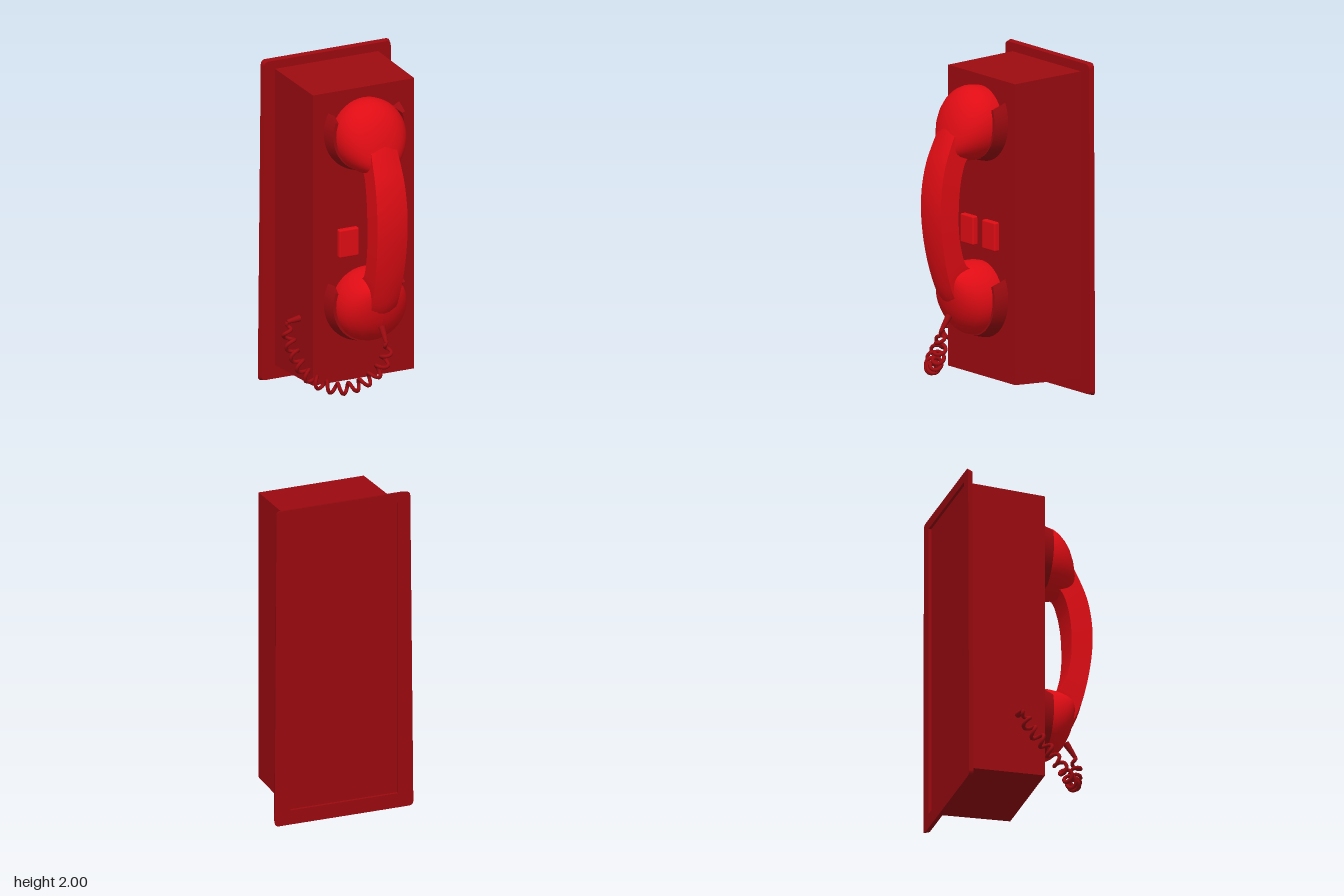
import * as THREE from 'three';
import { toCreasedNormals } from 'three/addons/utils/BufferGeometryUtils.js';
import { RoundedBoxGeometry } from 'three/addons/geometries/RoundedBoxGeometry.js';

const V = (x, y, z) => new THREE.Vector3(x, y, z);
const MID = 0.012; // x of the handset's centre line

// Rounded rectangle outline, used for the plate and its opening
function roundedRect(target, x0, y0, x1, y1, r) {
  target.moveTo(x0 + r, y0);
  target.lineTo(x1 - r, y0);
  target.quadraticCurveTo(x1, y0, x1, y0 + r);
  target.lineTo(x1, y1 - r);
  target.quadraticCurveTo(x1, y1, x1 - r, y1);
  target.lineTo(x0 + r, y1);
  target.quadraticCurveTo(x0, y1, x0, y1 - r);
  target.lineTo(x0, y0 + r);
  target.quadraticCurveTo(x0, y0, x0 + r, y0);
  return target;
}

// Closed tube of quads through equal-sized rings of points, capped at both ends
function loft(rings) {
  const n = rings[0].length, pos = [], idx = [];
  rings.forEach(ring => ring.forEach(p => pos.push(p.x, p.y, p.z)));
  for (let i = 0; i < rings.length - 1; i++) {
    for (let j = 0; j < n; j++) {
      const a = i * n + j, b = i * n + (j + 1) % n;
      idx.push(a, a + n, b, b, a + n, b + n);
    }
  }
  const last = (rings.length - 1) * n;
  for (let j = 1; j < n - 1; j++) idx.push(0, j, j + 1, last, last + j + 1, last + j);
  const g = new THREE.BufferGeometry();
  g.setAttribute('position', new THREE.Float32BufferAttribute(pos, 3));
  g.setIndex(idx);
  return toCreasedNormals(g, 0.6);
}

// Tapered plug between two points
function plug(a, b, ra, rb) {
  const g = new THREE.CylinderGeometry(rb, ra, a.distanceTo(b), 12);
  const dir = b.clone().sub(a).normalize();
  g.applyQuaternion(new THREE.Quaternion().setFromUnitVectors(V(0, 1, 0), dir));
  const m = a.clone().add(b).multiplyScalar(0.5);
  return g.translate(m.x, m.y, m.z);
}

// Wall plate: framed, narrower at the top, with a slightly smaller front face
function plateGeometry() {
  const outline = roundedRect(new THREE.Shape(), -0.43, 0, 0.455, 2, 0.03);
  outline.holes.push(roundedRect(new THREE.Path(), -0.331, 0.09, 0.353, 1.94, 0.002));
  const g = new THREE.ExtrudeGeometry(outline, { depth: 0.03, bevelEnabled: false });
  const p = g.attributes.position;
  for (let i = 0; i < p.count; i++) {
    const x = p.getX(i), y = p.getY(i), inset = p.getZ(i) > 0.02 ? 0.008 : 0;
    if (x < -0.37) p.setX(i, x + 0.01 * y + inset);
    if (x > 0.39) p.setX(i, x - 0.006 * y - inset);
    if (y < 0.05) p.setY(i, y + inset);
    if (y > 1.95) p.setY(i, y - inset);
  }
  g.computeVertexNormals();
  return g;
}

// Cup: dome whose tip leans toward the handle (lean is -1 or 1 in y)
function cupGeometry(lean) {
  const profile = [[0.212, 0.05], [0.218, 0.08], [0.222, 0.11], [0.222, 0.14], [0.216, 0.18],
    [0.204, 0.215], [0.184, 0.25], [0.158, 0.28], [0.125, 0.305], [0.085, 0.325],
    [0.045, 0.335], [0, 0.338]].map(([r, z]) => new THREE.Vector2(r, z));
  const g = new THREE.LatheGeometry(profile, 40).rotateX(Math.PI / 2);
  const p = g.attributes.position;
  for (let i = 0; i < p.count; i++) {
    if (p.getZ(i) < 0.12) continue;
    const r = Math.hypot(p.getX(i), p.getY(i));
    p.setY(i, p.getY(i) + lean * 0.7 * (0.222 - r));
  }
  g.computeVertexNormals();
  return g;
}

// Handle: curved bar with a crowned front that melts into the cups
function handleGeometry() {
  // outer z, outer y, inner z, inner y
  const stations = [
    [0.27, 1.75, 0.12, 1.62], [0.325, 1.63, 0.17, 1.47], [0.365, 1.53, 0.235, 1.445],
    [0.405, 1.42, 0.272, 1.36], [0.43, 1.3, 0.292, 1.26], [0.44, 1.18, 0.3, 1.15],
    [0.435, 1.05, 0.298, 1.03], [0.415, 0.9, 0.28, 0.92], [0.385, 0.76, 0.235, 0.805],
    [0.34, 0.62, 0.17, 0.77], [0.275, 0.52, 0.1, 0.66]
  ];
  const outer = new THREE.CatmullRomCurve3(stations.map(s => V(0, s[1], s[0])));
  const inner = new THREE.CatmullRomCurve3(stations.map(s => V(0, s[3], s[2])));
  const rings = [];
  for (let i = 0; i <= 40; i++) {
    const t = i / 40, o = outer.getPoint(t), n = inner.getPoint(t);
    const half = 0.076 + 0.024 * Math.sin(Math.PI * t);
    const crown = 0.01 + 0.03 * Math.abs(2 * t - 1) ** 4;
    const ring = [-1, -0.75, -0.4, 0, 0.4, 0.75, 1]
      .map(u => V(MID + u * half, o.y, o.z - crown * u * u));
    ring.push(V(MID + half, n.y, n.z), V(MID - half, n.y, n.z));
    rings.push(ring);
  }
  return loft(rings);
}

// Cradle: tapered ring, open at the top, its ends sloping back
function cradleGeometry() {
  const rings = [];
  for (let i = 0; i <= 40; i++) {
    const t = 2 * i / 40 - 1;
    rings.push([[0.215, 0.055, 118], [0.266, 0.055, 118], [0.245, 0.145, 111], [0.226, 0.145, 111]]
      .map(([r, z, reach]) => {
        const a = THREE.MathUtils.degToRad(270 + t * reach);
        return V(r * Math.cos(a), r * Math.sin(a), z);
      }));
  }
  return loft(rings);
}

// Coiled cord wound around a hanging guide curve
function cordGeometry() {
  const guide = new THREE.CatmullRomCurve3([
    V(-0.41, 0.47, -0.105), V(-0.415, 0.36, -0.06), V(-0.41, 0.27, 0.03), V(-0.385, 0.2, 0.1),
    V(-0.34, 0.16, 0.165), V(-0.24, 0.135, 0.245), V(-0.13, 0.165, 0.3), V(-0.03, 0.25, 0.34),
    V(0.01, 0.34, 0.355), V(0.01, 0.42, 0.352)
  ]);
  const n = 220, turns = 14, frames = guide.computeFrenetFrames(n), pts = [];
  for (let i = 0; i <= n; i++) {
    const t = i / n, a = t * turns * Math.PI * 2;
    const r = 0.031 * Math.min(1, 14 * t, 14 * (1 - t)); // tapers into the plugs
    pts.push(guide.getPointAt(t)
      .addScaledVector(frames.normals[i], r * Math.cos(a))
      .addScaledVector(frames.binormals[i], r * Math.sin(a)));
  }
  return new THREE.TubeGeometry(new THREE.CatmullRomCurve3(pts), 440, 0.0115, 7);
}

export function createModel() {
  const group = new THREE.Group();
  const dark = new THREE.MeshStandardMaterial({ color: 0x9c0a10 });
  const bright = new THREE.MeshStandardMaterial({ color: 0xe00c14 });
  const add = (name, geometry, material, x = 0, y = 0, z = 0) => {
    const mesh = new THREE.Mesh(geometry, material);
    mesh.name = name;
    mesh.position.set(x, y, z);
    group.add(mesh);
  };

  add('wallPlate', plateGeometry(), dark, 0, 0, -0.442);

  // Housing: box tapering slightly to the front, its back recessed in the plate
  const housing = new THREE.BoxGeometry(0.684, 1.85, 0.485);
  const h = housing.attributes.position;
  for (let i = 0; i < h.count; i++) {
    if (h.getZ(i) > 0) h.setXY(i, h.getX(i) * 0.98, h.getY(i) * 0.979);
  }
  housing.computeVertexNormals();
  add('housing', housing, dark, 0.011, 1.015, -0.1825);

  // Ear and mouth cups with their cradles
  const cradle = cradleGeometry();
  [['ear', 1.643, 1.67, -1], ['mouth', 0.59, 0.608, 1]].forEach(([name, cupY, cradleY, lean]) => {
    add(name + 'Cup', cupGeometry(lean), bright, MID, cupY);
    add(name + 'Cradle', cradle, dark, MID, cradleY);
  });
  add('handle', handleGeometry(), bright);

  // Hook buttons either side of the handle
  [-1, 1].forEach(side => {
    const button = new RoundedBoxGeometry(0.13, 0.175, 0.05, 2, 0.01);
    add(side < 0 ? 'rightButton' : 'leftButton', button, bright, 0.01 + side * 0.108, 0.973, 0.067);
  });

  // Cord and its plugs
  add('cord', cordGeometry(), dark);
  add('housingPlug', plug(V(-0.315, 0.48, -0.108), V(-0.41, 0.47, -0.105), 0.021, 0.012), dark);
  add('handsetPlug', plug(V(0.01, 0.5, 0.295), V(0.01, 0.415, 0.354), 0.021, 0.012), dark);
  return group;
}
